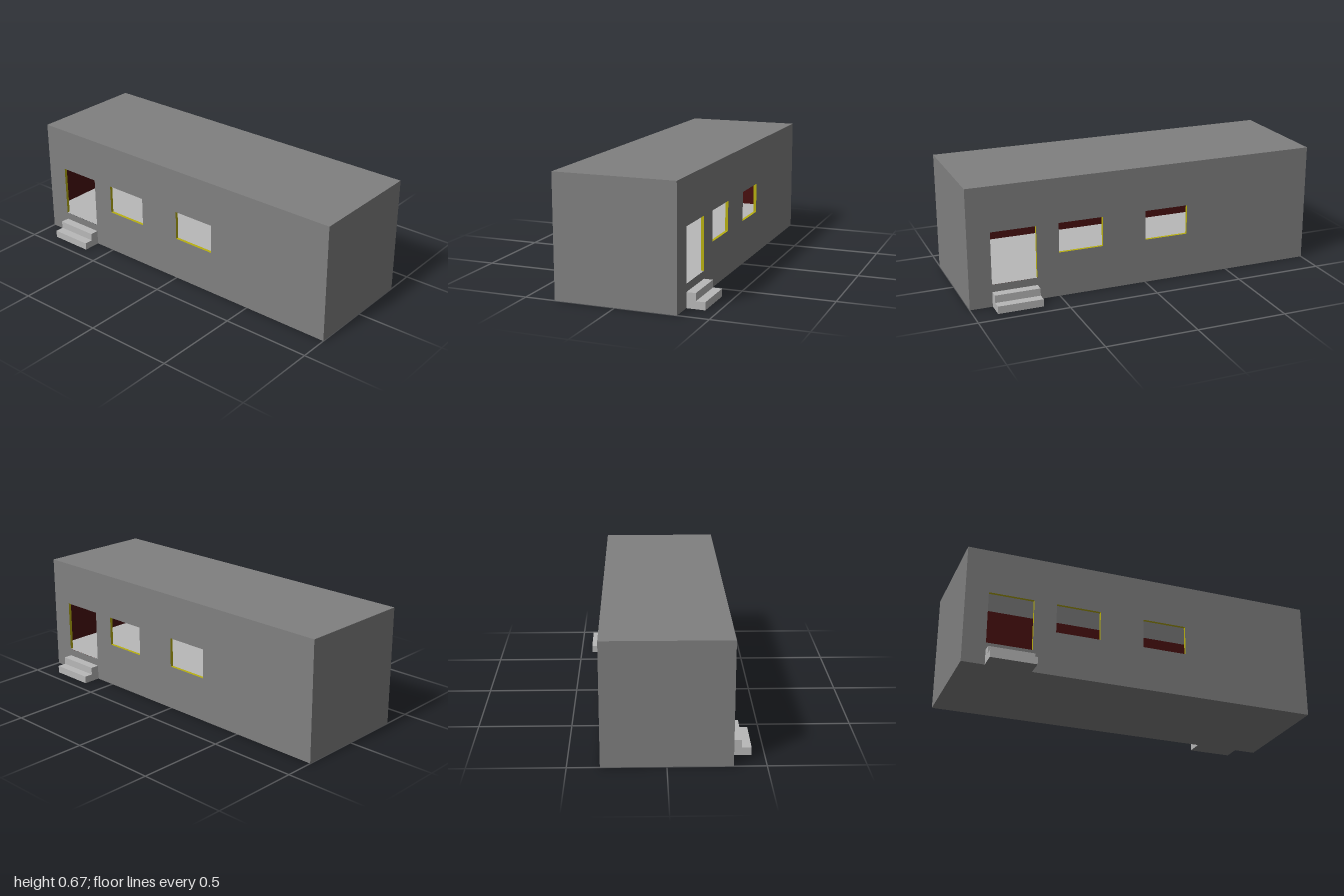
import * as THREE from 'three';

const W = 1 / 3, H = 2 / 3, L = 1, T = 0.0167, FLOOR = 0.125, CEIL = H - T;

const mat = (name, color, side = THREE.FrontSide) => {
  const m = new THREE.MeshStandardMaterial({ color, side });
  m.name = name;
  return m;
};

// Openings along a side wall: u runs along the wall, v is height
const OPENINGS = [
  { name: 'door', u0: -0.875, u1: -0.625, v0: FLOOR, v1: 0.417 },
  { name: 'frontWindow', u0: -0.5, u1: -0.25, v0: 0.25, v1: 0.417 },
  { name: 'rearWindow', u0: 0, u1: 0.25, v0: 0.25, v1: 0.417 },
];

function rect(C, u0, v0, u1, v1) {
  return new C().moveTo(u0, v0).lineTo(u1, v0).lineTo(u1, v1).lineTo(u0, v1).closePath();
}

// Rectangular wall sheet pierced by the openings
function wallSheet(u, v0, v1) {
  const s = rect(THREE.Shape, -u, v0, u, v1);
  for (const o of OPENINGS) s.holes.push(rect(THREE.Path, o.u0, o.v0, o.u1, o.v1));
  return new THREE.ShapeGeometry(s);
}

export function createModel() {
  const grey = mat('wallGrey', 0x808080);
  const pale = mat('paleGrey', 0xb8b8b8, THREE.DoubleSide);
  const red = mat('darkRed', 0x480f0f, THREE.DoubleSide);
  const yellow = mat('yellowTrim', 0xb8b010, THREE.DoubleSide);

  const model = new THREE.Group();
  model.name = 'cabin';

  const add = (parent, name, geo, m, x = 0, y = 0, z = 0, rx = 0, ry = 0) => {
    const mesh = new THREE.Mesh(geo, m);
    mesh.name = name;
    mesh.position.set(x, y, z);
    mesh.rotation.set(rx, ry, 0);
    parent.add(mesh);
    return mesh;
  };
  const plane = (w, h) => new THREE.PlaneGeometry(w, h);
  const Q = Math.PI / 2;

  // Roof, underside, floor and ceiling
  add(model, 'roof', plane(2 * W, 2 * L), grey, 0, H, 0, -Q);
  add(model, 'underside', plane(2 * W, 2 * L), grey, 0, 0, 0, Q);
  add(model, 'floor', plane(2 * W - 0.002, 2 * (L - T)), pale, 0, FLOOR, 0, -Q);
  add(model, 'ceiling', plane(2 * (W - T), 2 * (L - T)), pale, 0, CEIL, 0, Q);

  // Closed end walls, outside and inside
  for (const s of [1, -1]) {
    const turn = s > 0 ? 0 : Math.PI;
    const end = s > 0 ? 'front' : 'back';
    add(model, end + 'Wall', plane(2 * W, H), grey, 0, H / 2, s * L, 0, turn);
    add(model, end + 'WallLining', plane(2 * (W - T), CEIL - FLOOR), red,
      0, (CEIL + FLOOR) / 2, s * (L - T), 0, turn);
  }

  // Side walls: the same wall turned half a circle for the other side
  for (const s of [1, -1]) {
    const side = new THREE.Group();
    side.name = s > 0 ? 'leftSide' : 'rightSide';
    side.rotation.y = s * Q;
    model.add(side);

    add(side, 'outerWall', wallSheet(L, 0, H), grey, 0, 0, W);
    add(side, 'wallLining', wallSheet(L - T, FLOOR - 0.01, CEIL), red, 0, 0, W - T);

    // Trim lining each opening
    for (const o of OPENINGS) {
      const w = o.u1 - o.u0, h = o.v1 - o.v0;
      const cu = (o.u0 + o.u1) / 2, cv = (o.v0 + o.v1) / 2, z = W - T / 2;
      add(side, o.name + 'Head', plane(w, T), yellow, cu, o.v1, z, Q);
      if (o.name !== 'door') add(side, o.name + 'Sill', plane(w, T), yellow, cu, o.v0, z, -Q);
      for (const u of [o.u0, o.u1]) add(side, o.name + 'Jamb', plane(T, h), yellow, u, cv, z, 0, Q);
    }

    // Two steps below the door, with a grey base
    const rise = 1 / 24, run = 0.05, d = OPENINGS[0];
    const stepMats = [pale, pale, pale, grey, pale, pale];
    for (let i = 0; i < 2; i++) {
      add(side, i ? 'lowerStep' : 'upperStep',
        new THREE.BoxGeometry(d.u1 - d.u0, rise * (2 - i), run), stepMats,
        (d.u0 + d.u1) / 2, rise * (2 - i) / 2, W + run * (i + 0.5));
    }
  }
  return model;
}
